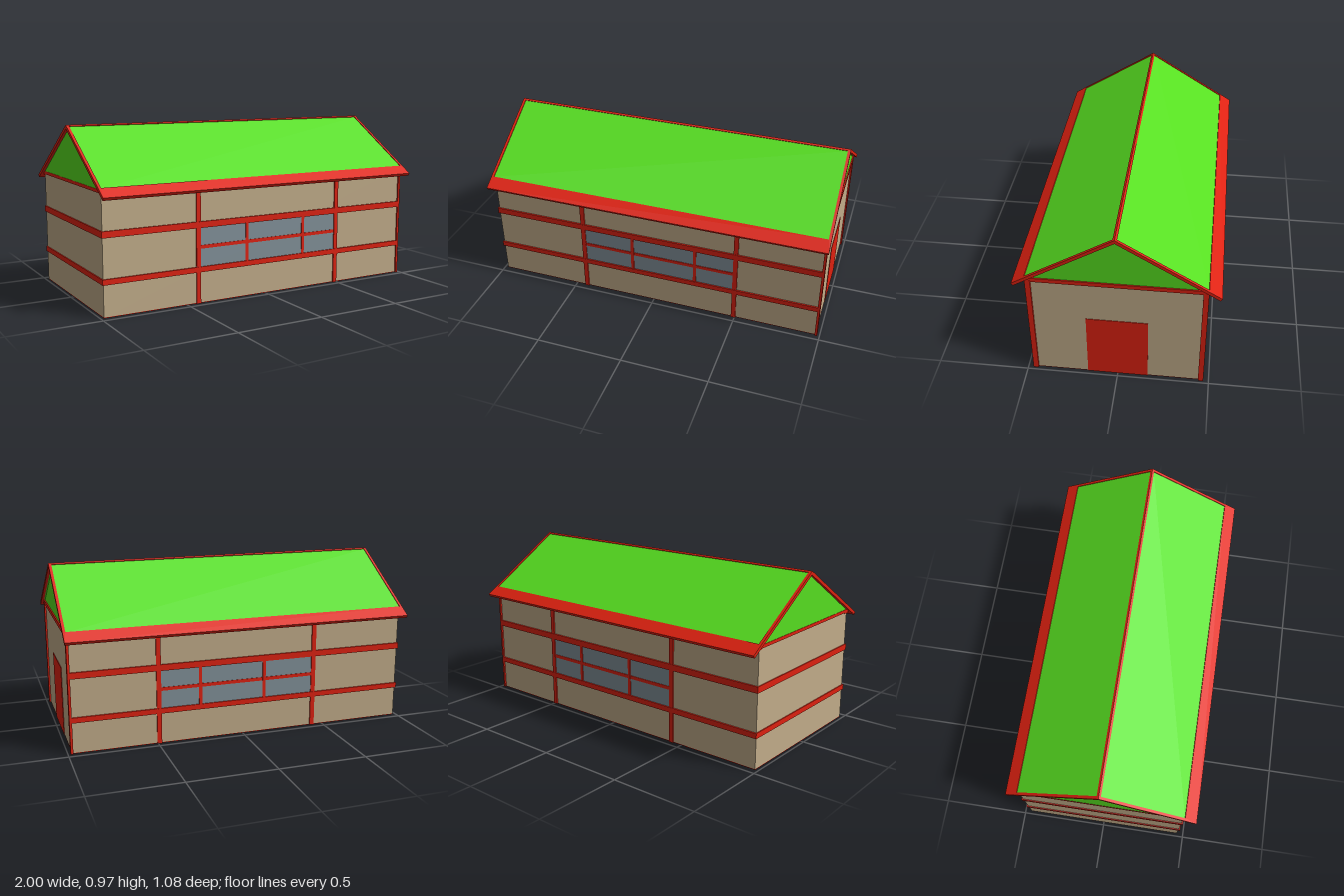
import * as THREE from 'three';

const mat = (color) => new THREE.MeshStandardMaterial({ color });
const red = mat(0xdf2110), green = mat(0x57df20), tan = mat(0xc2ad8a), glass = mat(0x82929a);

export function createModel() {
  const root = new THREE.Group();

  // box given by its min/max extents
  function box(name, material, [x0, x1], [y0, y1], [z0, z1], parent = root) {
    const mesh = new THREE.Mesh(new THREE.BoxGeometry(x1 - x0, y1 - y0, z1 - z0), material);
    mesh.position.set((x0 + x1) / 2, (y0 + y1) / 2, (z0 + z1) / 2);
    mesh.name = name;
    parent.add(mesh);
    return mesh;
  }
  const rect = (path, x0, y0, x1, y1) =>
    path.moveTo(x0, y0).lineTo(x1, y0).lineTo(x1, y1).lineTo(x0, y1).closePath();

  // body and floor
  box('walls', tan, [-0.982, 0.976], [0.004, 0.655], [-0.462, 0.462]);
  box('floor', red, [-0.982, 0.976], [0, 0.004], [-0.462, 0.462]);
  box('door', red, [0.97, 0.979], [0, 0.4], [-0.165, 0.165]);

  // gable prism under the roof
  const tri = new THREE.Shape();
  tri.moveTo(-0.455, 0.664).lineTo(0.455, 0.664).lineTo(0, 0.947).closePath();
  const gable = new THREE.Mesh(
    new THREE.ExtrudeGeometry(tri, { depth: 1.962, bevelEnabled: false }), green);
  gable.rotation.y = Math.PI / 2;
  gable.position.x = -0.984;
  gable.name = 'gables';
  root.add(gable);

  // tie beams at both ends, wall bands across the closed end
  box('tieBeamDoorEnd', red, [0.965, 0.985], [0.642, 0.666], [-0.47, 0.47]);
  box('tieBeamClosedEnd', red, [-0.986, -0.97], [0.648, 0.666], [-0.47, 0.47]);
  const bands = [[0.175, 0.205], [0.42, 0.455]];
  for (const y of bands) box('endBand', red, [-0.988, -0.975], y, [-0.47, 0.47]);

  // one long side: timbers, window and roof slope, made twice
  const angle = Math.atan2(0.852, 0.523);
  for (const turn of [0, Math.PI]) {
    const side = new THREE.Group();
    side.name = turn ? 'backSide' : 'frontSide';
    root.add(side);
    // the back is a mirror of the front, so posts keep their x positions
    const z = (a, b) => (turn ? [-b, -a] : [a, b]);

    for (const y of bands) box('sideBand', red, [-0.988, 0.985], y, z(0.45, 0.471), side);
    for (const x of [-0.433, 0.492])
      box('post', red, [x - 0.013, x + 0.013], [0, 0.65], z(0.45, 0.469), side);
    box('cornerPost', red, [0.972, 0.986], [0, 0.65], z(0.442, 0.471), side);
    box('eaveBeam', red, [-0.984, 0.984], [0.642, 0.662], z(0.44, 0.478), side);

    box('windowGlass', glass, [-0.43, 0.485], [0.2, 0.425], z(0.45, 0.464), side);
    box('windowRail', red, [-0.43, 0.485], [0.305, 0.324], z(0.45, 0.467), side);
    for (const x of [-0.127, 0.253])
      box('windowMullion', red, [x - 0.009, x + 0.009], [0.2, 0.425], z(0.45, 0.468), side);

    // roof frame with a slightly sunken panel
    const slope = new THREE.Group();
    slope.name = 'roofSlope';
    const frame = new THREE.Shape();
    rect(frame, -1, -0.631, 1, 0);
    const hole = new THREE.Path();
    rect(hole, -0.984, -0.552, 0.984, -0.013);
    frame.holes.push(hole);
    const trim = new THREE.Mesh(
      new THREE.ExtrudeGeometry(frame, { depth: 0.018, bevelEnabled: false }), red);
    trim.position.z = -0.018;
    trim.name = 'roofTrim';
    slope.add(trim);
    box('roofPanel', green, [-0.984, 0.984], [-0.552, -0.013], [-0.017, -0.004], slope);
    slope.rotation.x = -angle;
    slope.position.y = 0.967;
    const pivot = new THREE.Group();
    pivot.name = 'roofHalf';
    pivot.rotation.y = turn;
    pivot.add(slope);
    side.add(pivot);
  }
  return root;
}
